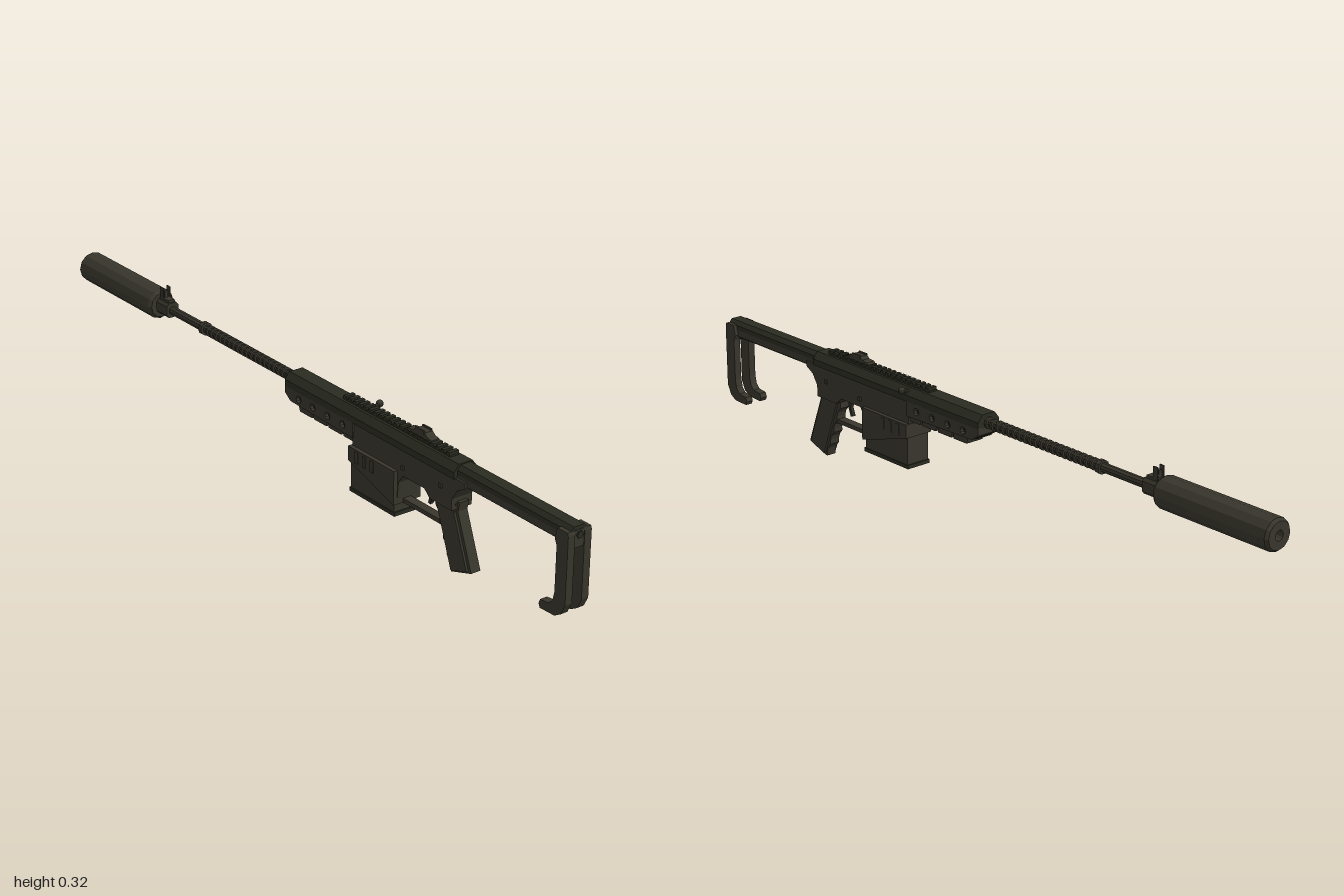
import * as THREE from 'three';

const body = new THREE.MeshStandardMaterial({ color: 0x38362c });
body.name = 'olive body';
const dark = new THREE.MeshStandardMaterial({ color: 0x2a2c21 });
dark.name = 'dark olive';
const black = new THREE.MeshStandardMaterial({ color: 0x1c1c17 });
black.name = 'near black';

const AXIS = 0.266; // height of the bore

export function createModel() {
  const model = new THREE.Group();
  const rifle = new THREE.Group();
  rifle.name = 'rifle';
  rifle.position.z = 0.008;
  model.add(rifle);

  const add = (name, geometry, material = body) => {
    let g = geometry.index ? geometry.toNonIndexed() : geometry;
    g.computeVertexNormals(); // faceted look
    const mesh = new THREE.Mesh(g, material);
    mesh.name = name;
    rifle.add(mesh);
    return mesh;
  };
  const outline = (pts) => new THREE.Shape(pts.map(([x, y]) => new THREE.Vector2(x, y)));
  // Side outline given thickness across z
  const plate = (name, pts, z0, z1, material = body, holes = []) => {
    const shape = outline(pts);
    for (const [x, y, r] of holes) {
      shape.holes.push(new THREE.Path().absarc(x, y, r, 0, Math.PI * 2, true));
    }
    const g = new THREE.ExtrudeGeometry(shape, { depth: z1 - z0, bevelEnabled: false, curveSegments: 5 });
    return add(name, g.translate(0, 0, z0), material);
  };
  // Cross-section (right half mirrored) run along x
  const beam = (name, half, x0, x1, material = body) => {
    const pts = [...half, ...half.map(([z, y]) => [-z, y]).reverse()];
    const g = new THREE.ExtrudeGeometry(outline(pts), { depth: x1 - x0, bevelEnabled: false });
    return add(name, g.rotateY(Math.PI / 2).translate(x0, 0, 0), material);
  };
  const box = (name, x0, x1, y0, y1, z0, z1, material = body) =>
    add(name, new THREE.BoxGeometry(x1 - x0, y1 - y0, z1 - z0)
      .translate((x0 + x1) / 2, (y0 + y1) / 2, (z0 + z1) / 2), material);
  // Turned part on the bore line, profile as [x, radius]
  const turned = (name, profile, sides, material = body) => {
    const g = new THREE.LatheGeometry(profile.map(([x, r]) => new THREE.Vector2(r, x)), sides);
    return add(name, g.rotateZ(-Math.PI / 2).translate(0, AXIS, 0), material);
  };
  const mirrored = (fn) => [-1, 1].forEach(fn);

  // Suppressor with a recessed bore
  turned('suppressor', [[-0.97, 0], [-0.97, 0.011], [-1, 0.013], [-1, 0.035], [-0.992, 0.041],
    [-0.655, 0.041], [-0.645, 0.034], [-0.645, 0]], 12);
  turned('boreEnd', [[-0.972, 0], [-0.972, 0.01], [-0.969, 0.01]], 12, black);

  // Muzzle block and front sight
  beam('muzzleBlock', [[0.012, 0.247], [0.018, 0.254], [0.018, 0.279], [0.012, 0.287]], -0.648, -0.595);
  box('frontSightBase', -0.64, -0.6, 0.284, 0.294, -0.01, 0.01);
  box('frontSightPost', -0.634, -0.624, 0.29, 0.313, -0.005, 0.005);
  mirrored((s) => {
    const ear = box('frontSightEar', -0.636, -0.622, 0.29, 0.322, -0.0015, 0.0015);
    ear.position.z = s * 0.01;
  });

  // Barrel with its ringed section
  turned('barrel', [[-0.6, 0], [-0.6, 0.012], [-0.45, 0.012], [-0.45, 0.018], [-0.437, 0.018],
    [-0.437, 0.011], [-0.03, 0.011]], 10);
  const rings = [];
  for (let x = -0.425; x < -0.05; x += 0.0195) {
    rings.push([x, 0.01], [x + 0.002, 0.0155], [x + 0.009, 0.0155], [x + 0.011, 0.01]);
  }
  turned('barrelRings', rings, 10);

  // Long upper housing running back to the stock
  beam('upperReceiver', [[0.034, 0.255], [0.034, 0.272], [0.02, 0.29]], -0.045, 0.61, dark);
  beam('stockBar', [[0.018, 0.241], [0.024, 0.246], [0.024, 0.264]], 0.6, 0.992);
  beam('stockTopBar', [[0.024, 0.264], [0.024, 0.276], [0.015, 0.287]], 0.6, 0.995, dark);

  // Handguard with vent holes and lower ribs
  const vents = [0.012, 0.07, 0.13, 0.19];
  plate('handguard', [[-0.045, 0.258], [-0.045, 0.238], [-0.022, 0.222], [0.23, 0.216], [0.23, 0.258]],
    -0.034, 0.034, body, vents.map((x) => [x, 0.237, 0.01]));
  box('handguardCore', -0.03, 0.23, 0.224, 0.252, -0.024, 0.024, black);
  vents.forEach((x) => plate('handguardRib',
    [[x - 0.012, 0.222], [x - 0.005, 0.202], [x + 0.045, 0.202], [x + 0.045, 0.222]], -0.026, 0.026));

  // Receiver with the arch above the trigger
  plate('receiver', [[0.225, 0.257], [0.225, 0.18], [0.4, 0.12], [0.404, 0.165], [0.42, 0.188],
    [0.5, 0.188], [0.52, 0.17], [0.6, 0.17], [0.6, 0.2], [0.618, 0.228], [0.645, 0.243],
    [0.645, 0.257]], -0.03, 0.03);
  mirrored((s) => {
    box('receiverPin', 0.415, 0.425, 0.205, 0.215, s * 0.031 - 0.003, s * 0.031 + 0.003);
    box('receiverPin', 0.555, 0.565, 0.215, 0.225, s * 0.031 - 0.003, s * 0.031 + 0.003);
  });

  // Magazine and its slanted well
  plate('magazineWell', [[0.222, 0.195], [0.222, 0.158], [0.4, 0.106], [0.4, 0.195]], -0.041, 0.041);
  box('magazine', 0.226, 0.394, 0.078, 0.18, -0.034, 0.034);
  box('magazineFloor', 0.222, 0.398, 0.074, 0.084, -0.036, 0.036, dark);
  mirrored((s) => [0.25, 0.28, 0.31].forEach((x) =>
    box('wellRib', x, x + 0.012, 0.16, 0.19, s * 0.041 - 0.002, s * 0.041 + 0.002)));

  // Trigger and guard
  plate('triggerGuard', [[0.395, 0.117], [0.395, 0.106], [0.55, 0.106], [0.55, 0.117]], -0.012, 0.012);
  plate('trigger', [[0.485, 0.19], [0.492, 0.16], [0.484, 0.138], [0.492, 0.136], [0.501, 0.16],
    [0.5, 0.19]], -0.005, 0.005, dark);

  // Pistol grip with finger bumps
  const grip = [[0.61, 0.19], [0.604, 0.165], [0.657, 0.026], [0.585, 0.002]];
  for (let i = 0; i < 4; i++) {
    const t = i / 4;
    const x = 0.58 - t * 0.06, y = 0.025 + t * 0.15;
    grip.push([x, y], [x - 0.012, y + 0.014], [x - 0.012, y + 0.026]);
  }
  grip.push([0.52, 0.19]);
  plate('grip', grip, -0.014, 0.014);
  const gripSide = [[0.602, 0.185], [0.596, 0.162], [0.647, 0.028], [0.59, 0.009], [0.532, 0.165], [0.53, 0.185]];
  plate('gripPanels', gripSide, -0.02, 0.02);

  // Forked butt hook
  const hook = [[0.955, 0.25], [0.962, 0.278], [0.995, 0.278], [0.998, 0.27], [0.998, 0.1], [0.985, 0.074],
    [0.965, 0.062], [0.917, 0.06], [0.912, 0.07], [0.917, 0.082], [0.945, 0.085], [0.957, 0.098], [0.962, 0.12],
    [0.962, 0.235]];
  mirrored((s) => plate('buttFork', hook, s > 0 ? 0.014 : -0.034, s > 0 ? 0.034 : -0.014));
  box('buttTop', 0.958, 0.996, 0.235, 0.278, -0.015, 0.015);
  const bolt = add('buttBolt', new THREE.CylinderGeometry(0.009, 0.009, 0.006, 6).rotateZ(Math.PI / 2), dark);
  bolt.position.set(0.997, AXIS, 0);

  // Top rail with teeth
  box('railBase', 0.165, 0.57, 0.286, 0.294, -0.013, 0.013, dark);
  for (let x = 0.168; x < 0.56; x += 0.0195) {
    box('railTooth', x, x + 0.011, 0.293, 0.301, -0.014, 0.014, dark);
  }

  // Rear sight
  plate('rearSight', [[0.405, 0.298], [0.412, 0.306], [0.432, 0.308], [0.44, 0.315], [0.475, 0.315],
    [0.485, 0.307], [0.5, 0.304], [0.5, 0.298]], -0.012, 0.012);
  mirrored((s) => box('rearSightEar', 0.44, 0.472, 0.31, 0.319, s * 0.011 - 0.002, s * 0.011 + 0.002));

  // Charging handle on the far side
  const rod = add('chargingRod', new THREE.CylinderGeometry(0.005, 0.006, 0.03, 8).rotateX(-Math.PI / 2 + 0.25));
  rod.position.set(0.232, 0.282, -0.033);
  const knob = add('chargingKnob', new THREE.SphereGeometry(0.0095, 10, 8));
  knob.position.set(0.232, 0.286, -0.046);

  return model;
}
